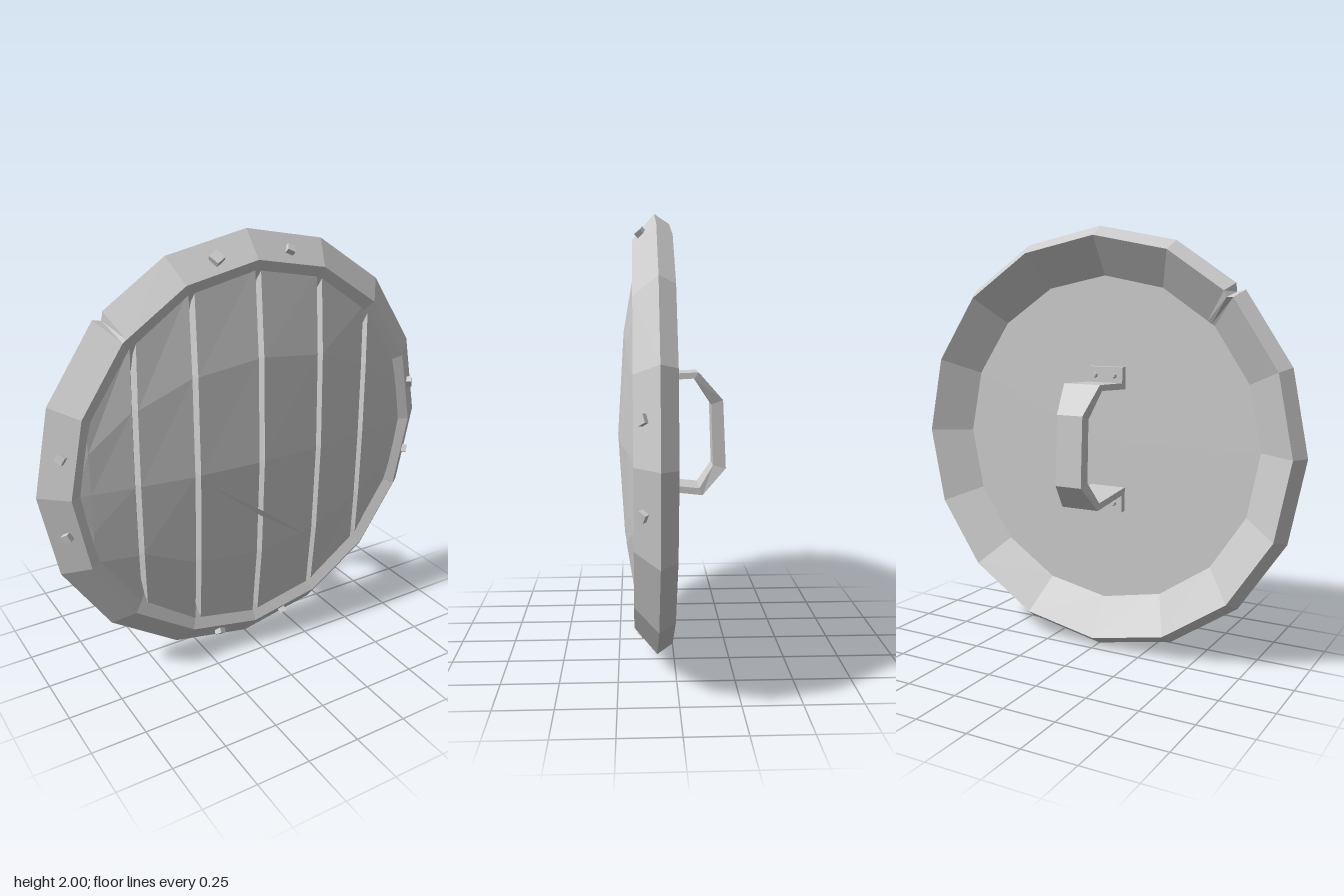
import * as THREE from 'three';

const SIDES = 16, STEP = (Math.PI * 2) / SIDES;
const gray = new THREE.MeshStandardMaterial({ color: 0xcccccc, flatShading: true });
gray.name = 'plain gray';

// Skin a list of cross-sections, each an array of [x, y, z] points
function loft(sections, closedRing = false, closedPath = false) {
  const pos = [], idx = [];
  const m = sections[0].length, n = sections.length;
  sections.forEach((s) => s.forEach((p) => pos.push(...p)));
  for (let i = 0; i < (closedPath ? n : n - 1); i++) {
    for (let j = 0; j < (closedRing ? m : m - 1); j++) {
      const i2 = (i + 1) % n, j2 = (j + 1) % m;
      const a = i * m + j, b = i2 * m + j, c = i2 * m + j2, d = i * m + j2;
      idx.push(a, b, c, a, c, d);
    }
  }
  const g = new THREE.BufferGeometry();
  g.setAttribute('position', new THREE.Float32BufferAttribute(pos, 3));
  g.setIndex(idx);
  const flat = g.toNonIndexed();
  flat.computeVertexNormals();
  return flat;
}

function add(parent, name, geometry) {
  const mesh = new THREE.Mesh(geometry, gray);
  mesh.name = name;
  parent.add(mesh);
  return mesh;
}

// Distance from centre to a unit 16-gon in a given direction
function polygonRadius(angle) {
  const d = ((angle % STEP) + STEP) % STEP;
  return Math.cos(STEP / 2) / Math.cos(d - STEP / 2);
}

// Bevelled rim, with a small chip at the upper corner
function rimGeometry() {
  const profile = [[1, 0.08], [0.885, 0.18], [0.8, 0.14], [0.77, 0.135], [0.955, 0.012]];
  const deg = Math.PI / 180;
  const stations = [];
  for (let i = 0; i < SIDES; i++) stations.push({ a: i * STEP, chip: 0 });
  stations.push({ a: 132 * deg, chip: 0 }, { a: 133.7 * deg, chip: 0.03 });
  stations.sort((p, q) => p.a - q.a);
  return loft(stations.map(({ a, chip }) => profile.map(([r, z], k) => {
    const rr = r * polygonRadius(a) - (k === 0 ? chip : k === 4 ? chip * 0.5 : 0);
    return [Math.cos(a) * rr, Math.sin(a) * rr, z];
  })), true, true);
}

// Domed planks with V grooves between them
function plankGeometry() {
  const R = 0.86;
  const dome = (x, y) => 0.25 - 0.13 * (x * x + y * y);
  const rows = [-1, -0.55, 0, 0.55, 1];
  const columns = [];
  for (let k = 8; k >= 0; k--) {
    const x = R * Math.cos(k * STEP), h = R * Math.sin(k * STEP);
    const seam = k >= 2 && k <= 6;
    const lips = seam ? [[-0.014, 0], [0.003, 0.035], [0.014, 0]] : [[0, 0]];
    for (const [dx, depth] of lips) {
      columns.push(rows.map((t) => {
        const shift = seam ? 0.012 - 0.028 * (1 - t * t) : 0;
        return [x * (seam ? 0.96 : 1) + shift + dx, h * t, dome(x, h * t) - depth];
      }));
    }
  }
  return loft(columns);
}

// Bent grip strap: each station has outer and inner [y, z], then x limits
function gripGeometry() {
  const path = [
    [1.28, 0.13, 1.25, 0.13, -0.11, 0.075],
    [1.29, -0.12, 1.262, -0.1, -0.11, 0.075],
    [1.16, -0.235, 1.14, -0.18, -0.085, 0.045],
    [0.84, -0.25, 0.855, -0.19, -0.085, 0.045],
    [0.72, -0.14, 0.753, -0.125, -0.11, 0.075],
    [0.75, 0.13, 0.78, 0.13, -0.11, 0.075],
  ];
  return loft(path.map(([yo, zo, yi, zi, l, r]) => [
    [r, yo - 1, zo], [l, yo - 1, zo], [l, yi - 1, zi], [r, yi - 1, zi],
  ]), true);
}

export function createModel() {
  const model = new THREE.Group();
  model.name = 'roundShield';
  const body = new THREE.Group();
  body.name = 'shieldBody';
  body.position.y = 1;
  model.add(body);

  add(body, 'rim', rimGeometry());
  add(body, 'planks', plankGeometry());

  // Flat back board
  const back = new THREE.CircleGeometry(0.79, SIDES);
  back.rotateX(Math.PI);
  add(body, 'backBoard', back).position.z = 0.13;

  // Long thin cut across the planks
  const cut = [[-0.31, -0.03, 0.239, 0], [0, -0.27, 0.236, 0.012], [0.27, -0.47, 0.212, 0]];
  add(body, 'cutMark', loft(cut.map(([x, y, z, w]) => [
    [x - w * 0.6, y - w * 0.8, z], [x + w * 0.6, y + w * 0.8, z + w * 0.75],
  ])));

  // Square studs in pairs on the sloping front of the rim
  for (let q = 0; q < 4; q++) {
    for (const s of [-1, 1]) {
      const a = q * Math.PI / 2 + s * 0.196;
      const holder = new THREE.Group();
      holder.name = 'rimStud';
      holder.rotation.z = a;
      body.add(holder);
      const size = q === 1 && s === 1 ? 0.048 : 0.036;
      const stud = add(holder, 'stud', new THREE.BoxGeometry(size, size, 0.035));
      stud.position.set(0.918, 0, 0.142);
      stud.rotation.set(0, 0.85, 0.35 * s, 'YXZ');
    }
  }

  // Handle on the back: strap, two fixing plates and their rivets
  const handle = new THREE.Group();
  handle.name = 'handle';
  body.add(handle);
  add(handle, 'grip', gripGeometry());
  for (const s of [-1, 1]) {
    const y = s > 0 ? 0.31 : -0.29;
    add(handle, 'fixingPlate', new THREE.BoxGeometry(0.185, 0.09, 0.035)).position.set(-0.0175, y, 0.115);
    for (const dx of [-0.05, 0.05]) {
      const rivet = add(handle, 'handleRivet', new THREE.CylinderGeometry(0.015, 0.01, 0.02, 6));
      rivet.rotation.x = Math.PI / 2;
      rivet.position.set(-0.0175 + dx, y + s * 0.005, 0.092);
    }
  }
  return model;
}
